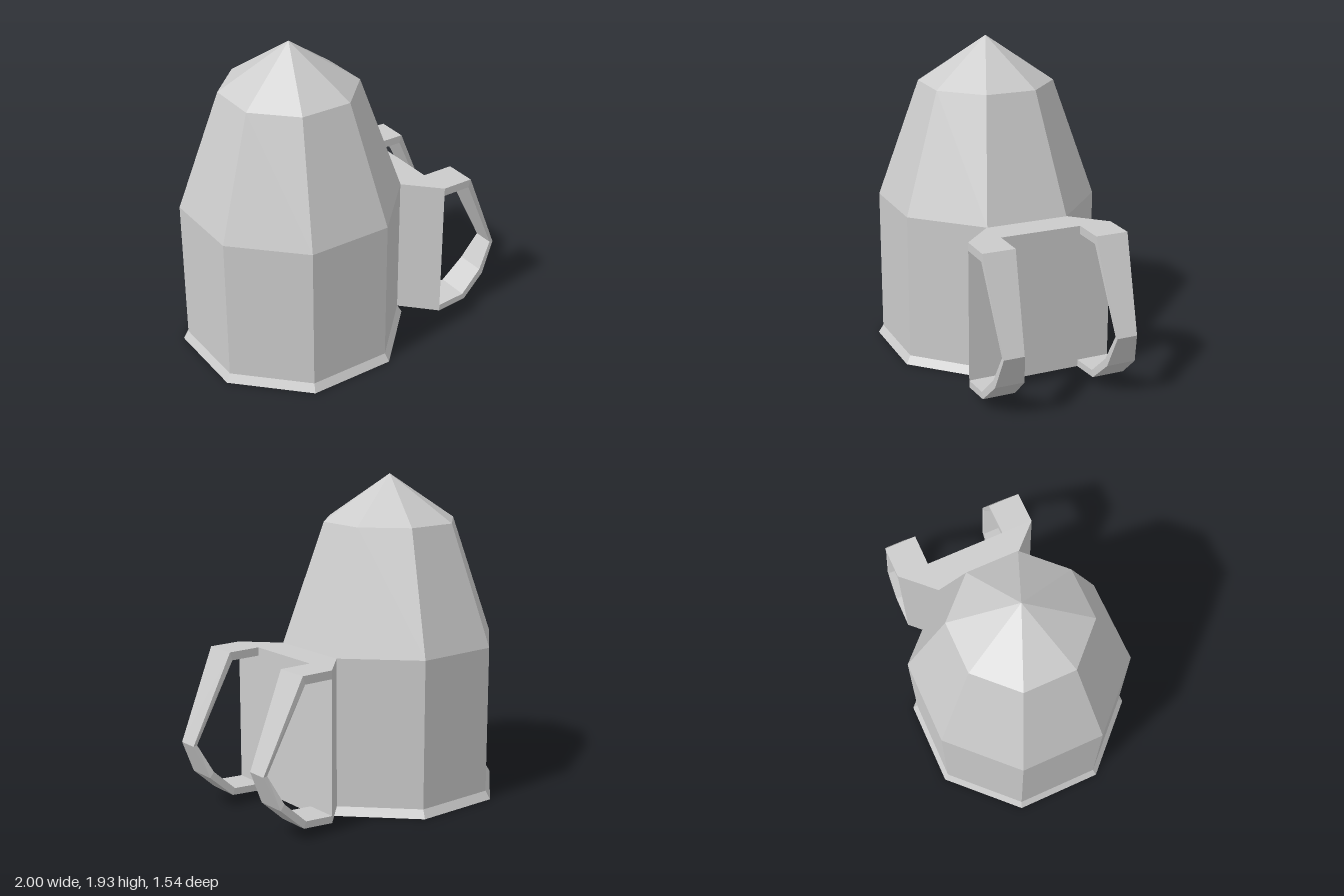
import * as THREE from 'three';

const material = new THREE.MeshStandardMaterial({ color: 0xcccccc, flatShading: true });

function part(name, geometry) {
  const mesh = new THREE.Mesh(geometry, material);
  mesh.name = name;
  return mesh;
}

// Capped solid through a row of four-cornered cross-sections
function loft(sections) {
  const positions = [];
  const quad = (a, b, c, d) => positions.push(...a, ...b, ...c, ...a, ...c, ...d);
  for (let i = 0; i < sections.length - 1; i++) {
    const s = sections[i], n = sections[i + 1];
    for (let j = 0; j < 4; j++) {
      const k = (j + 1) % 4;
      quad(s[j], s[k], n[k], n[j]);
    }
  }
  const [a, b, c, d] = sections[0];
  quad(a, d, c, b);
  quad(...sections[sections.length - 1]);
  const geometry = new THREE.BufferGeometry();
  geometry.setAttribute('position', new THREE.Float32BufferAttribute(positions, 3));
  geometry.computeVertexNormals();
  return geometry;
}

// Section corners: outer edge pair, then inner edge pair
const section = (xo, yo, xi, yi, z0, z1) =>
  [[xo, yo, z0], [xo, yo, z1], [xi, yi, z1], [xi, yi, z0]];

export function createModel() {
  const model = new THREE.Group();
  const figure = new THREE.Group();
  figure.name = 'figure';
  figure.position.set(-0.305, 0, 0.078);
  model.add(figure);

  // Eight-sided body: flared foot, straight wall, tapering shoulder, pointed cap
  const profile = [[0, 0], [0.695, 0], [0.665, 0.05], [0.665, 0.94], [0.41, 1.66], [0, 1.935]]
    .map(([r, y]) => new THREE.Vector2(r, y));
  figure.add(part('body', new THREE.LatheGeometry(profile, 8)));

  // Pack on one body face, widening outward; local x points away from the body
  const pack = new THREE.Group();
  pack.name = 'pack';
  pack.rotation.y = Math.PI / 8;
  figure.add(pack);
  pack.add(part('packBlock', loft([
    section(0.61, 0.94, 0.61, 0.05, -0.254, 0.254),
    section(0.8, 0.94, 0.8, 0.05, -0.45, 0.45),
  ])));

  // Two identical straps: outer x, y, inner x, y, and side limits
  const strap = loft([
    [0.8, 0.94, 0.8, 0.89, -0.1, 0.1],
    [1.0, 0.94, 0.985, 0.89, -0.1, 0.1],
    [1.235, 0.4, 1.21, 0.405, -0.05, 0.075],
    [1.15, 0.2, 1.125, 0.235, -0.09, 0.09],
    [1.0, 0.065, 0.985, 0.105, -0.1, 0.1],
    [0.8, 0.05, 0.8, 0.092, -0.1, 0.1],
  ].map((s) => section(...s)));
  for (const [name, z] of [['frontStrap', 0.35], ['backStrap', -0.35]]) {
    const mesh = part(name, strap);
    mesh.position.z = z;
    pack.add(mesh);
  }
  return model;
}
